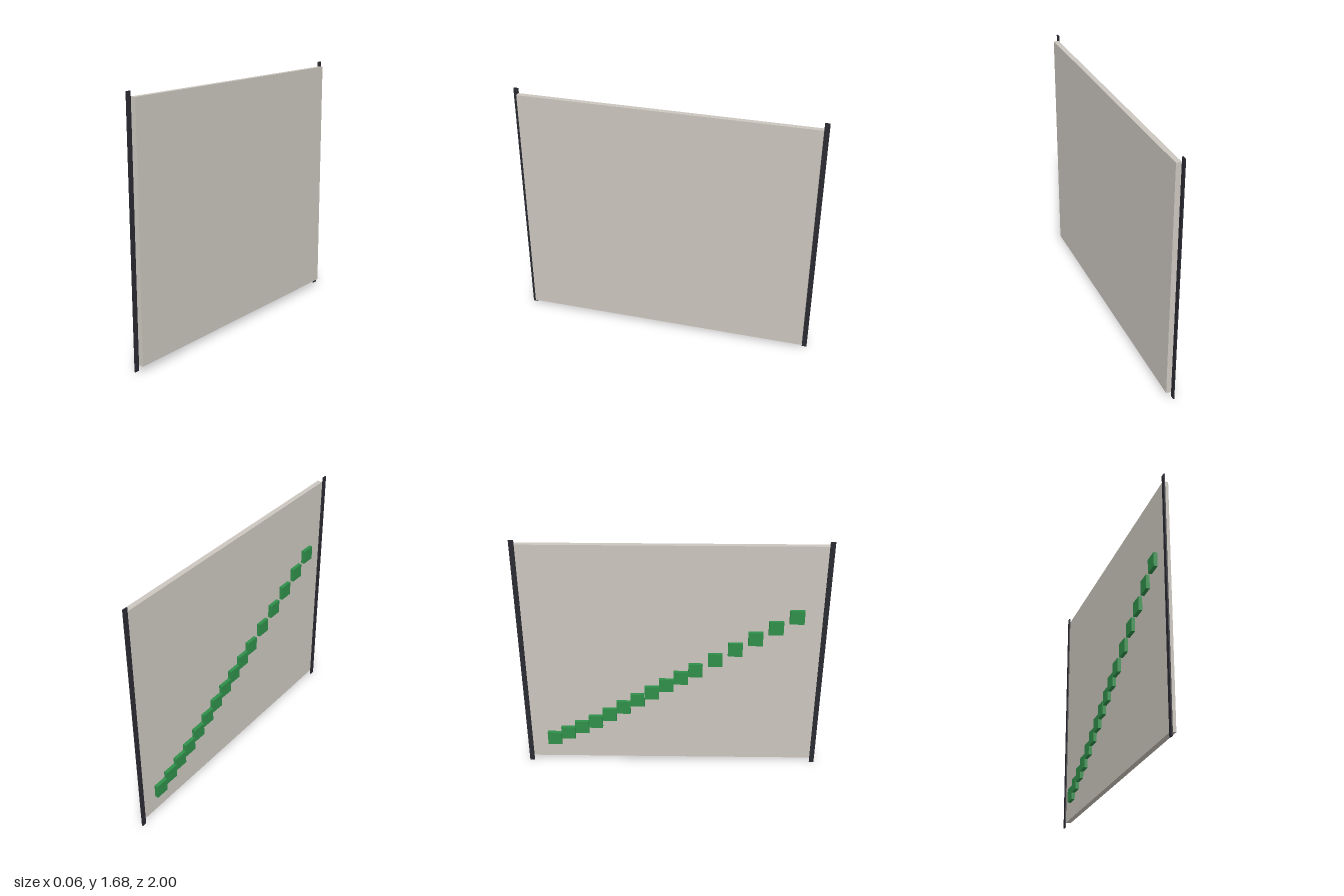
import * as THREE from 'three';

const paint = (name, color) => {
  const m = new THREE.MeshStandardMaterial({ color });
  m.name = name;
  return m;
};

export function createModel() {
  const group = new THREE.Group();
  const panelGrey = paint('warm grey', 0xcbc6be);
  const frameBlack = paint('charcoal', 0x2a2a32);
  const holdGreen = paint('green', 0x2f8f4a);

  // Box given by its min and max corners
  const box = (name, material, [x0, y0, z0], [x1, y1, z1]) => {
    const mesh = new THREE.Mesh(new THREE.BoxGeometry(x1 - x0, y1 - y0, z1 - z0), material);
    mesh.position.set((x0 + x1) / 2, (y0 + y1) / 2, (z0 + z1) / 2);
    mesh.name = name;
    group.add(mesh);
  };

  // Upright slab
  box('panel', panelGrey, [-0.005, 0.035, -0.968], [0.029, 1.648, 0.968]);

  // Thin edge strips at both ends
  box('frontPost', frameBlack, [-0.013, 0, 0.968], [-0.005, 1.68, 1]);
  box('backPost', frameBlack, [-0.013, 0, -1], [-0.005, 1.68, -0.968]);

  // Rising row of square blocks, steeper and wider spaced toward the front
  const half = 0.0475;
  let y = 0.198, z = -0.81;
  for (let i = 0; i < 16; i++) {
    box(`stepBlock${i + 1}`, holdGreen, [-0.029, y - half, z - half], [-0.005, y + half, z + half]);
    y += i < 3 ? 0.047 : i < 10 ? 0.06 : 0.081;
    z += i < 10 ? 0.0968 : 0.1288;
  }
  return group;
}
